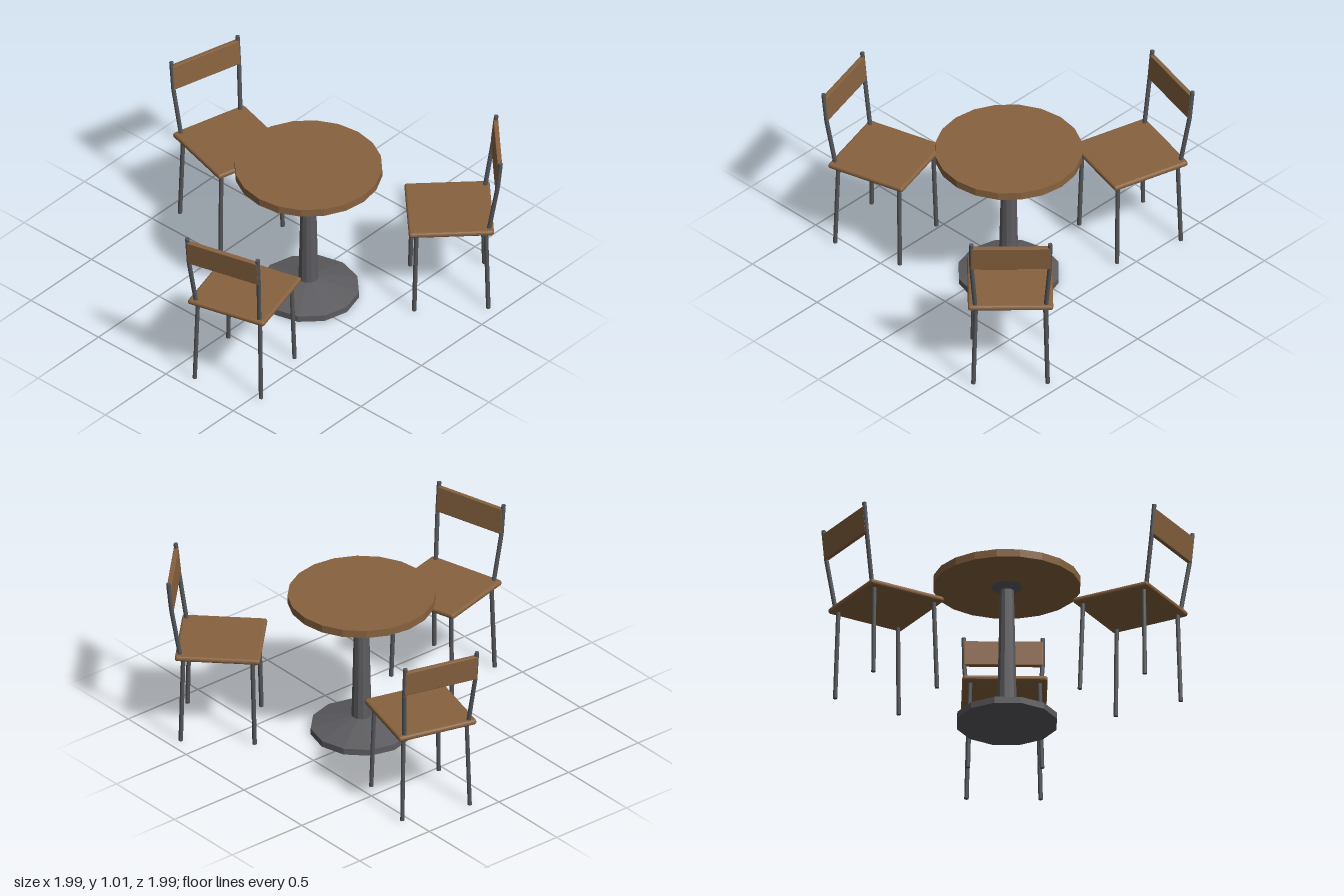
import * as THREE from 'three';
import { RoundedBoxGeometry } from 'three/addons/geometries/RoundedBoxGeometry.js';

const wood = new THREE.MeshStandardMaterial({ color: 0x87623f, flatShading: true });
wood.name = 'brown wood';
const metal = new THREE.MeshStandardMaterial({ color: 0x5c5c60, flatShading: true });
metal.name = 'grey metal';
const tubeMetal = new THREE.MeshStandardMaterial({ color: 0x54565a });
tubeMetal.name = 'dark tube metal';

function part(parent, name, geometry, material) {
  const mesh = new THREE.Mesh(geometry, material);
  mesh.name = name;
  parent.add(mesh);
  return mesh;
}

// Straight round rod between two points
function rod(parent, name, a, b, radius = 0.0125) {
  const from = new THREE.Vector3(...a);
  const dir = new THREE.Vector3(...b).sub(from);
  const mesh = part(parent, name, new THREE.CylinderGeometry(radius, radius, dir.length(), 8), tubeMetal);
  mesh.position.copy(from).addScaledVector(dir, 0.5);
  mesh.quaternion.setFromUnitVectors(new THREE.Vector3(0, 1, 0), dir.normalize());
  return mesh;
}

function createTable() {
  const table = new THREE.Group();
  table.name = 'table';

  // Twenty-sided top
  part(table, 'tableTop', new THREE.CylinderGeometry(0.41, 0.41, 0.045, 20), wood).position.y = 0.8535;

  // Foot, tapered column and mounting flare
  const profile = [
    [0, 0], [0.285, 0], [0.285, 0.037], [0.056, 0.1], [0.04, 0.808], [0.088, 0.831],
  ].map(([r, y]) => new THREE.Vector2(r, y));
  part(table, 'pedestal', new THREE.LatheGeometry(profile, 12), metal);
  return table;
}

// Chair facing +z, centred on its seat
function createChair() {
  const chair = new THREE.Group();
  chair.name = 'chair';

  part(chair, 'seat', new RoundedBoxGeometry(0.472, 0.032, 0.472, 2, 0.014), wood).position.y = 0.536;

  for (const side of [-1, 1]) {
    // Splayed legs
    for (const end of [-1, 1]) {
      rod(chair, end > 0 ? 'frontLeg' : 'backLeg',
        [side * 0.205, 0, end * 0.205], [side * 0.192, 0.53, end * 0.192]);
    }
    // Back posts, bent at the lower edge of the back rest
    const bend = [side * 0.216, 0.83, -0.254];
    rod(chair, 'lowerBackPost', [side * 0.195, 0.53, -0.207], bend);
    rod(chair, 'upperBackPost', bend, [side * 0.218, 1.01, -0.272]);
  }

  // Leaning back rest
  const rest = part(chair, 'backRest', new RoundedBoxGeometry(0.44, 0.152, 0.027, 1, 0.004), wood);
  rest.position.set(0, 0.91, -0.262);
  rest.rotation.x = -0.1;
  return chair;
}

export function createModel() {
  const model = new THREE.Group();
  model.name = 'tableAndChairs';
  const centre = 0.085;

  const table = createTable();
  table.position.set(centre, 0, centre);
  model.add(table);

  // Three chairs evenly spaced, facing the table
  for (const degrees of [-15, 105, 225]) {
    const angle = THREE.MathUtils.degToRad(degrees);
    const chair = createChair();
    chair.rotation.y = angle;
    chair.position.set(centre - Math.sin(angle) * 0.779, 0, centre - Math.cos(angle) * 0.779);
    model.add(chair);
  }
  return model;
}
